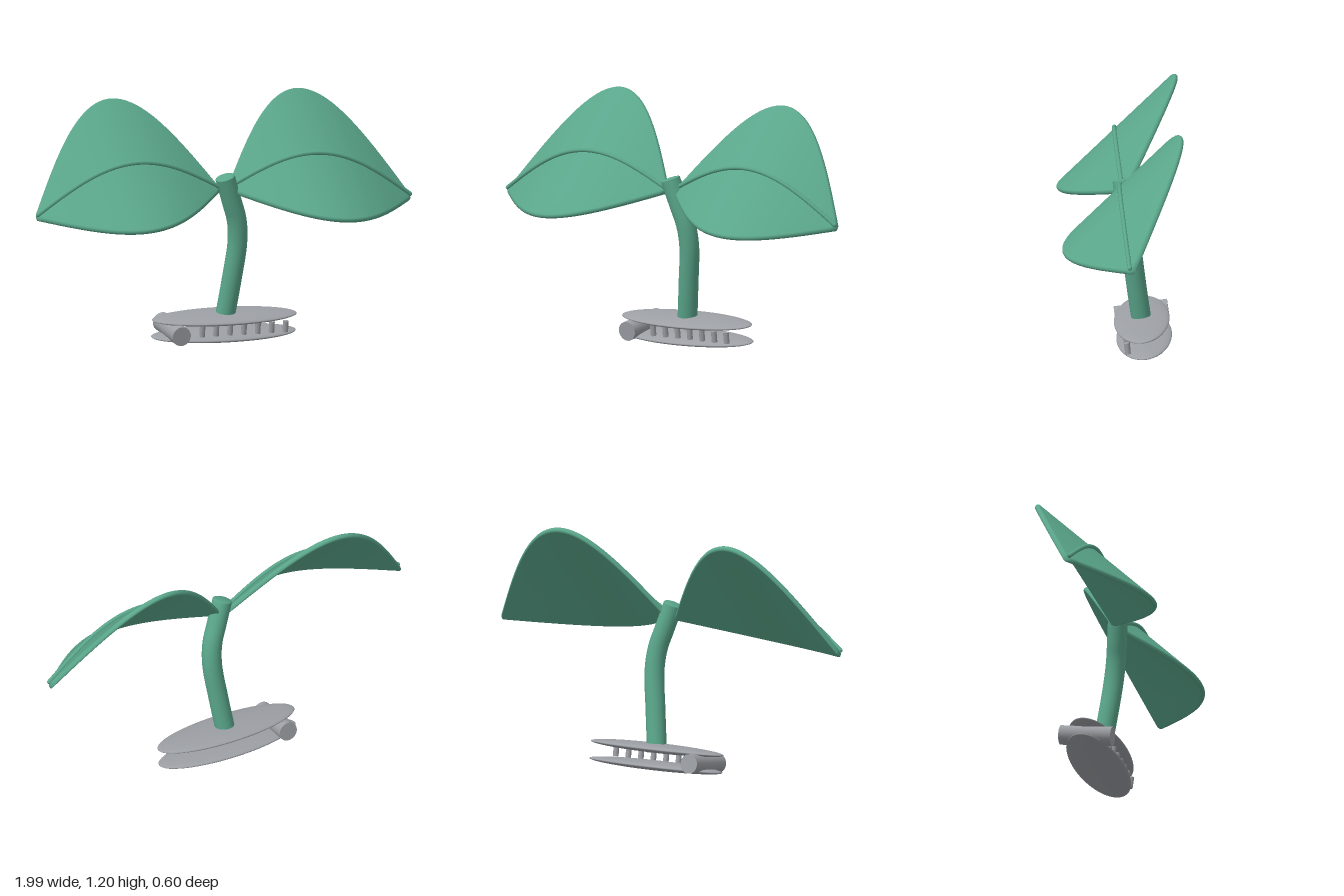
import * as THREE from 'three';

const green = new THREE.MeshStandardMaterial({ color: 0x5aa68b });
green.name = 'leafGreen';
const grey = new THREE.MeshStandardMaterial({ color: 0x9c9fa4 });
grey.name = 'clipGrey';

function add(parent, name, geometry, material, x = 0, y = 0, z = 0) {
  const mesh = new THREE.Mesh(geometry, material);
  mesh.name = name;
  mesh.position.set(x, y, z);
  parent.add(mesh);
  return mesh;
}

// Leaf frame: ACROSS runs from front edge to back edge, UP is the face normal
const ACROSS = new THREE.Vector3(0, 0.7, -0.714);
const UP = new THREE.Vector3(0, 0.714, 0.7);
const THICK = 0.014;

// Arched centre line of a leaf, t = 0 at the stem, 1 at the tip
function leafCentre(t, side) {
  const x = side * (0.03 + 0.955 * t);
  const arch = Math.sin(Math.PI * t);
  return new THREE.Vector3(x, 0.77 - 0.09 * t + 0.19 * arch - 0.007 * x, -0.025 - 0.01 * t + 0.03 * arch);
}

// Thin plate with rounded rim, swept along the centre line
function leafGeometry(side) {
  const rings = 56, flat = 6, round = 6;
  const section = [];
  for (const s of [1, -1]) {
    for (let i = 0; i <= round; i++) {
      const a = -Math.PI / 2 + (Math.PI * i) / round;
      section.push([s, s * Math.cos(a), s * Math.sin(a)]);
    }
    for (let i = 1; i < flat; i++) section.push([s * (1 - (2 * i) / flat), 0, s]);
  }
  const n = section.length, pos = [], idx = [];
  const tri = (a, b, c) => (side > 0 ? idx.push(a, b, c) : idx.push(a, c, b));
  for (let i = 0; i <= rings; i++) {
    const t = i / rings, c = leafCentre(t, side);
    const w = 0.006 + 0.392 * Math.sin(Math.PI * t);
    for (const [u, du, dv] of section) {
      const p = c.clone().addScaledVector(ACROSS, u * w + du * THICK).addScaledVector(UP, dv * THICK);
      pos.push(p.x, p.y, p.z);
    }
  }
  for (let i = 0; i < rings; i++) {
    for (let j = 0; j < n; j++) {
      const a = i * n + j, b = i * n + ((j + 1) % n);
      tri(a, b, b + n);
      tri(a, b + n, a + n);
    }
  }
  // end caps
  const last = rings * n;
  for (let j = 1; j < n - 1; j++) {
    tri(0, j + 1, j);
    tri(last, last + j, last + j + 1);
  }
  const g = new THREE.BufferGeometry();
  g.setAttribute('position', new THREE.Float32BufferAttribute(pos, 3));
  g.setIndex(idx);
  g.computeVertexNormals();
  return g;
}

function makeLeaf(side) {
  const leaf = new THREE.Group();
  leaf.name = side > 0 ? 'leftLeaf' : 'rightLeaf';
  add(leaf, 'leafBlade', leafGeometry(side), green);
  // raised midrib with a rounded tip
  const points = [];
  for (let i = 0; i <= 16; i++) points.push(leafCentre(i / 16, side).addScaledVector(UP, 0.02));
  const rib = new THREE.CatmullRomCurve3(points);
  add(leaf, 'midrib', new THREE.TubeGeometry(rib, 48, 0.011, 8), green);
  const tip = points[16];
  add(leaf, 'midribTip', new THREE.SphereGeometry(0.011, 10, 8), green, tip.x, tip.y, tip.z);
  return leaf;
}

function makeStem() {
  const stem = new THREE.Group();
  stem.name = 'stem';
  const curve = new THREE.CatmullRomCurve3([
    [0.035, 0.1, -0.108], [0.062, 0.3, -0.08], [0.084, 0.5, -0.055],
    [0.074, 0.61, -0.04], [0.045, 0.7, -0.028], [0.002, 0.828, -0.012],
  ].map((p) => new THREE.Vector3(...p)));
  add(stem, 'stalk', new THREE.TubeGeometry(curve, 48, 0.049, 24), green);
  // slightly domed end of the stalk
  const end = curve.getPoint(1);
  const cap = add(stem, 'stalkTop', new THREE.SphereGeometry(0.049, 24, 8, 0, Math.PI * 2, 0, Math.PI / 2),
    green, end.x, end.y, end.z);
  cap.scale.y = 0.2;
  cap.quaternion.setFromUnitVectors(new THREE.Vector3(0, 1, 0), curve.getTangent(1));
  return stem;
}

function makeClip() {
  const clip = new THREE.Group();
  clip.name = 'clip';
  // two lens-shaped oval plates
  for (const s of [1, -1]) {
    const plate = add(clip, s > 0 ? 'upperPlate' : 'lowerPlate',
      new THREE.SphereGeometry(1, 64, 24), grey, 0, s * 0.043, 0);
    plate.scale.set(0.38, 0.023, 0.138);
  }
  // hinge barrel at one end
  const hinge = add(clip, 'hinge', new THREE.CylinderGeometry(0.048, 0.048, 0.265, 32), grey, -0.275, -0.006, 0);
  hinge.rotation.x = Math.PI / 2;
  // row of teeth along the front
  for (let i = 0; i < 7; i++) {
    add(clip, 'tooth', new THREE.CylinderGeometry(0.014, 0.014, 0.056, 12), grey, -0.148 + i * 0.0735, 0, 0.086);
  }
  clip.position.set(0.035, 0.079, -0.112);
  clip.rotation.x = 0.14;
  return clip;
}

export function createModel() {
  const model = new THREE.Group();
  model.name = 'sproutHairClip';
  model.add(makeLeaf(1), makeLeaf(-1), makeStem(), makeClip());
  return model;
}
